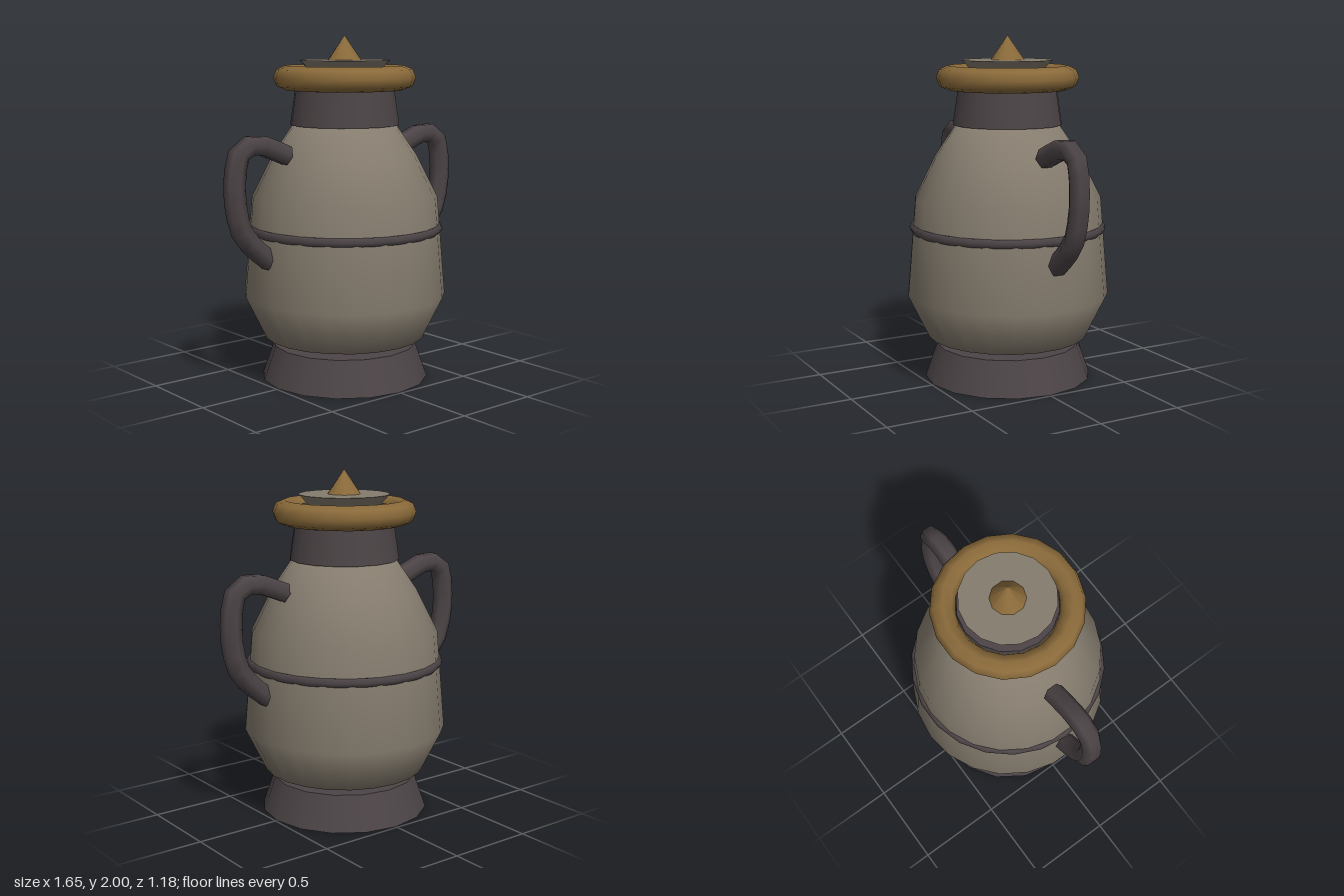
import * as THREE from 'three';

const clay = new THREE.MeshStandardMaterial({ color: 0x857c6e });
clay.name = 'warm grey clay';
const iron = new THREE.MeshStandardMaterial({ color: 0x4c4446, side: THREE.DoubleSide });
iron.name = 'dark iron';
const brass = new THREE.MeshStandardMaterial({ color: 0x8a6a3a });
brass.name = 'aged brass';

export function createModel() {
  const model = new THREE.Group();
  model.name = 'urn';

  const add = (name, geometry, material, y = 0) => {
    const mesh = new THREE.Mesh(geometry, material);
    mesh.name = name;
    mesh.position.y = y;
    model.add(mesh);
    return mesh;
  };
  // Frustum given by its bottom and top heights
  const frustum = (name, rBottom, rTop, y0, y1, sides, material) =>
    add(name, new THREE.CylinderGeometry(rTop, rBottom, y1 - y0, sides), material, (y0 + y1) / 2);
  // Horizontal ring
  const ring = (name, radius, tube, y, tubeSides, sides, material) =>
    add(name, new THREE.TorusGeometry(radius, tube, tubeSides, sides).rotateX(Math.PI / 2), material, y);

  // Foot and turned body
  frustum('foot', 0.49, 0.42, 0, 0.2, 16, iron);
  const profile = [[0, 0.165], [0.47, 0.25], [0.591, 0.5], [0.542, 1.07], [0.418, 1.315], [0.295, 1.495], [0, 1.52]]
    .map(([r, y]) => new THREE.Vector2(r, y));
  add('body', new THREE.LatheGeometry(profile, 22), clay);
  ring('waistBand', 0.547, 0.028, 0.894, 6, 22, iron);

  // Neck, rim and lid
  frustum('neck', 0.317, 0.273, 1.49, 1.79, 16, iron);
  ring('rim', 0.343, 0.069, 1.759, 8, 18, brass);
  frustum('lid', 0.18, 0.262, 1.77, 1.86, 16, clay);
  add('finial', new THREE.ConeGeometry(0.105, 0.15, 10), brass, 1.925);

  // Pair of bent side handles
  const bend = [[0.42, 1.337], [0.634, 1.41], [0.734, 1.37], [0.771, 1.17], [0.76, 1.056], [0.729, 0.94], [0.655, 0.845], [0.54, 0.75]];
  for (const side of [1, -1]) {
    const path = new THREE.CatmullRomCurve3(bend.map(([x, y]) => new THREE.Vector3(side * x, y, 0)));
    add(side > 0 ? 'leftHandle' : 'rightHandle', new THREE.TubeGeometry(path, 12, 0.061, 6), iron);
  }
  return model;
}
